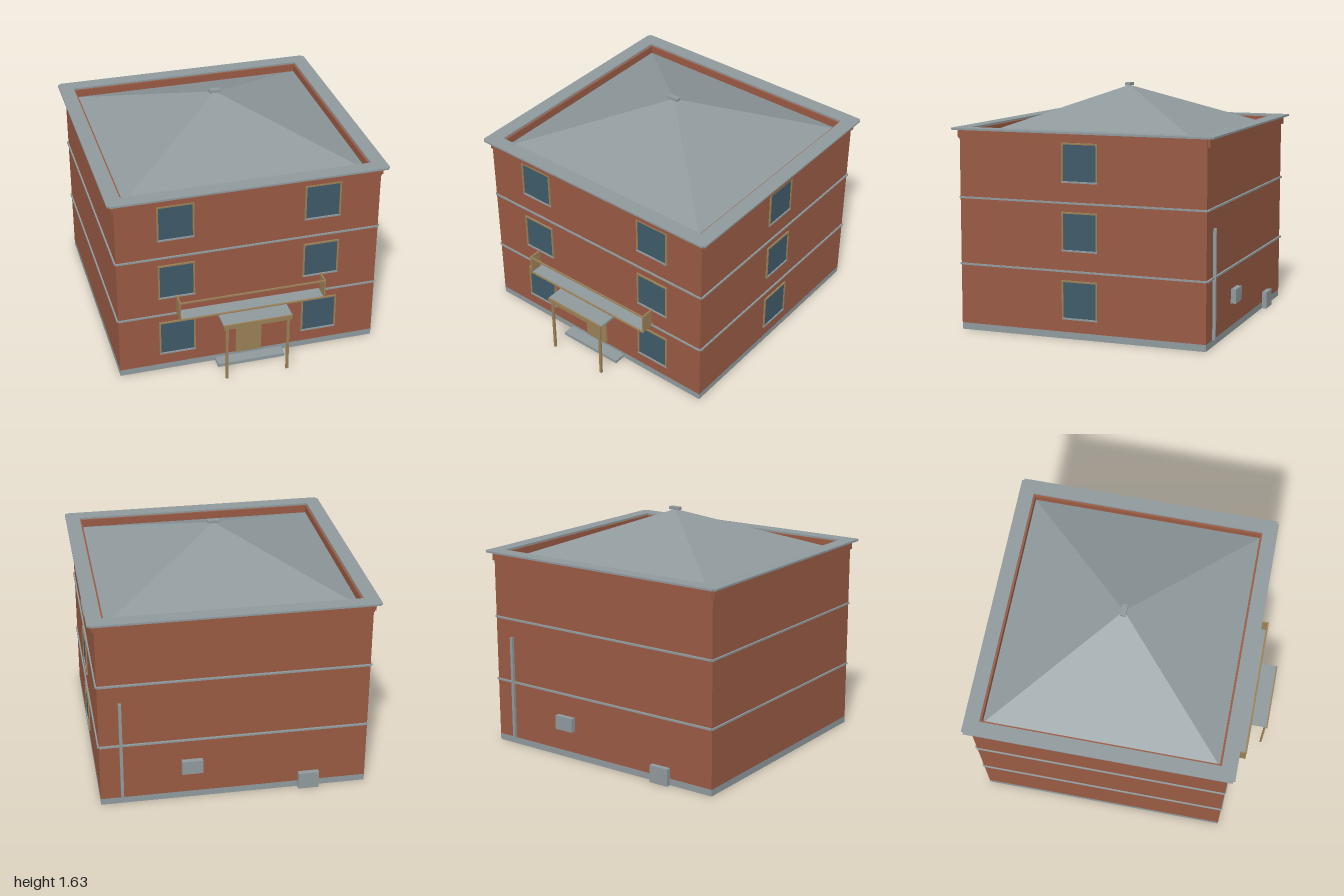
import * as THREE from 'three';

const mat = (name, color) => {
  const m = new THREE.MeshStandardMaterial({ color });
  m.name = name;
  return m;
};

export function createModel() {
  const brick = mat('brick', 0x985a43);
  const stone = mat('grey stone', 0x8f999c);
  const wood = mat('wood', 0x9a8056);
  const glass = mat('window glass', 0x3f5a69);

  const root = new THREE.Group();
  root.name = 'building';
  const CZ = -0.09, FRONT = 0.77, BACK = -0.95, SIDE = 0.9;

  const add = (name, geometry, material, parent = root) => {
    const mesh = new THREE.Mesh(geometry, material);
    mesh.name = name;
    parent.add(mesh);
    return mesh;
  };
  // box given by its min and max along each axis
  const box = (name, material, [x0, x1], [y0, y1], [z0, z1], parent = root) => {
    const mesh = add(name, new THREE.BoxGeometry(x1 - x0, y1 - y0, z1 - z0), material, parent);
    mesh.position.set((x0 + x1) / 2, (y0 + y1) / 2, (z0 + z1) / 2);
    return mesh;
  };
  const group = (name) => {
    const g = new THREE.Group();
    g.name = name;
    root.add(g);
    return g;
  };
  // flat rectangular ring with notched outer corners
  const ring = (name, material, hx, hz, ix, iz, y0, y1, n) => {
    const quarter = [[hx, hz - n], [hx - n, hz - n], [hx - n, hz]];
    const flip = (sx, sz) => quarter.map(([x, z]) => new THREE.Vector2(x * sx, z * sz));
    const shape = new THREE.Shape([
      ...flip(1, 1), ...flip(-1, 1).reverse(), ...flip(-1, -1), ...flip(1, -1).reverse(),
    ]);
    shape.holes.push(new THREE.Path([[ix, iz], [ix, -iz], [-ix, -iz], [-ix, iz]]
      .map(([x, z]) => new THREE.Vector2(x, z))));
    const geo = new THREE.ExtrudeGeometry(shape, { depth: y1 - y0, bevelEnabled: false });
    geo.rotateX(-Math.PI / 2);
    add(name, geo, material).position.set(0, y0, CZ - 0.002);
  };

  // walls and plinth
  box('plinth', stone, [-SIDE, SIDE], [0, 0.045], [BACK, FRONT]);
  box('walls', brick, [-SIDE, SIDE], [0.045, 1.297], [BACK, FRONT]);

  // string courses, parapet and cornice
  for (const y of [0.45, 0.9]) ring('stringCourse', stone, 0.91, 0.871, 0.89, 0.85, y - 0.006, y + 0.006, 0.01);
  ring('parapet', brick, 0.916, 0.876, 0.832, 0.792, 1.297, 1.352, 0.015);
  ring('cornice', stone, 0.946, 0.907, 0.845, 0.805, 1.352, 1.365, 0.014);

  // hipped roof with its cap
  const roof = new THREE.ConeGeometry(Math.SQRT1_2, 1, 4, 1, true).toNonIndexed();
  roof.rotateY(Math.PI / 4);
  roof.scale(1.664, 0.317, 1.584);
  roof.computeVertexNormals();
  add('roof', roof, stone).position.set(0, 1.298 + 0.1585, CZ - 0.002);
  box('roofCap', stone, [-0.04, 0.04], [1.612, 1.632], [-0.11, -0.073]);

  // windows: glass, wooden surround and stone sill
  const W = 0.125, H = 0.26, T = 0.011;
  const addWindow = (x, y, z, turn) => {
    const g = group('window');
    g.position.set(x, y, z);
    g.rotation.y = turn;
    box('windowGlass', glass, [-W + T, W - T], [T, H - T], [-0.002, 0.004], g);
    box('windowHead', wood, [-W, W], [H - T, H], [-0.002, 0.01], g);
    for (const s of [-1, 1]) {
      const c = s * (W - T / 2);
      box('windowJamb', wood, [c - T / 2, c + T / 2], [T, H - T], [-0.002, 0.01], g);
    }
    box('windowSill', stone, [-W, W], [0, T], [-0.002, 0.011], g);
  };
  for (const y of [0.13, 0.582, 1.032]) {
    for (const x of [-0.5, 0.5]) addWindow(x, y, FRONT, 0);
    addWindow(SIDE, y, CZ, Math.PI / 2);
  }

  // entrance: door, step and canopy on posts
  box('door', wood, [-0.09, 0.09], [0.045, 0.342], [FRONT - 0.002, 0.779]);
  box('step', stone, [-0.237, 0.237], [0, 0.024], [FRONT, 0.853]);
  const canopy = group('canopy');
  box('canopySlab', stone, [-0.237, 0.237], [0.43, 0.446], [FRONT, 0.99], canopy);
  box('canopyFascia', wood, [-0.237, 0.237], [0.413, 0.446], [0.99, 1], canopy);
  for (const s of [-1, 1]) {
    const c = s * 0.212;
    box('canopyPost', wood, [c - 0.009, c + 0.009], [0, 0.43], [0.976, 0.99], canopy);
  }

  // balcony with solid ends and an open front rail
  const balcony = group('balcony');
  box('balconySlab', stone, [-0.5, 0.5], [0.452, 0.465], [FRONT, 0.87], balcony);
  box('topRail', wood, [-0.507, 0.507], [0.587, 0.597], [0.87, 0.88], balcony);
  box('bottomRail', wood, [-0.507, 0.507], [0.455, 0.463], [0.87, 0.88], balcony);
  for (const s of [-1, 1]) {
    const c = s * 0.502, xs = [c - 0.005, c + 0.005];
    box('balconyEnd', wood, xs, [0.463, 0.59], [0.79, 0.871], balcony);
    box('endRail', wood, xs, [0.59, 0.597], [FRONT, 0.87], balcony);
    box('railPost', wood, xs, [0.463, 0.587], [0.871, 0.877], balcony);
  }

  // back wall: drain pipe and service boxes
  box('drainPipe', stone, [0.747, 0.767], [0.045, 0.77], [-0.97, BACK]);
  box('ventBox', stone, [0.217, 0.358], [0.2, 0.297], [-0.985, BACK]);
  box('meterBox', stone, [-0.575, -0.435], [0, 0.118], [-0.985, BACK]);

  return root;
}
